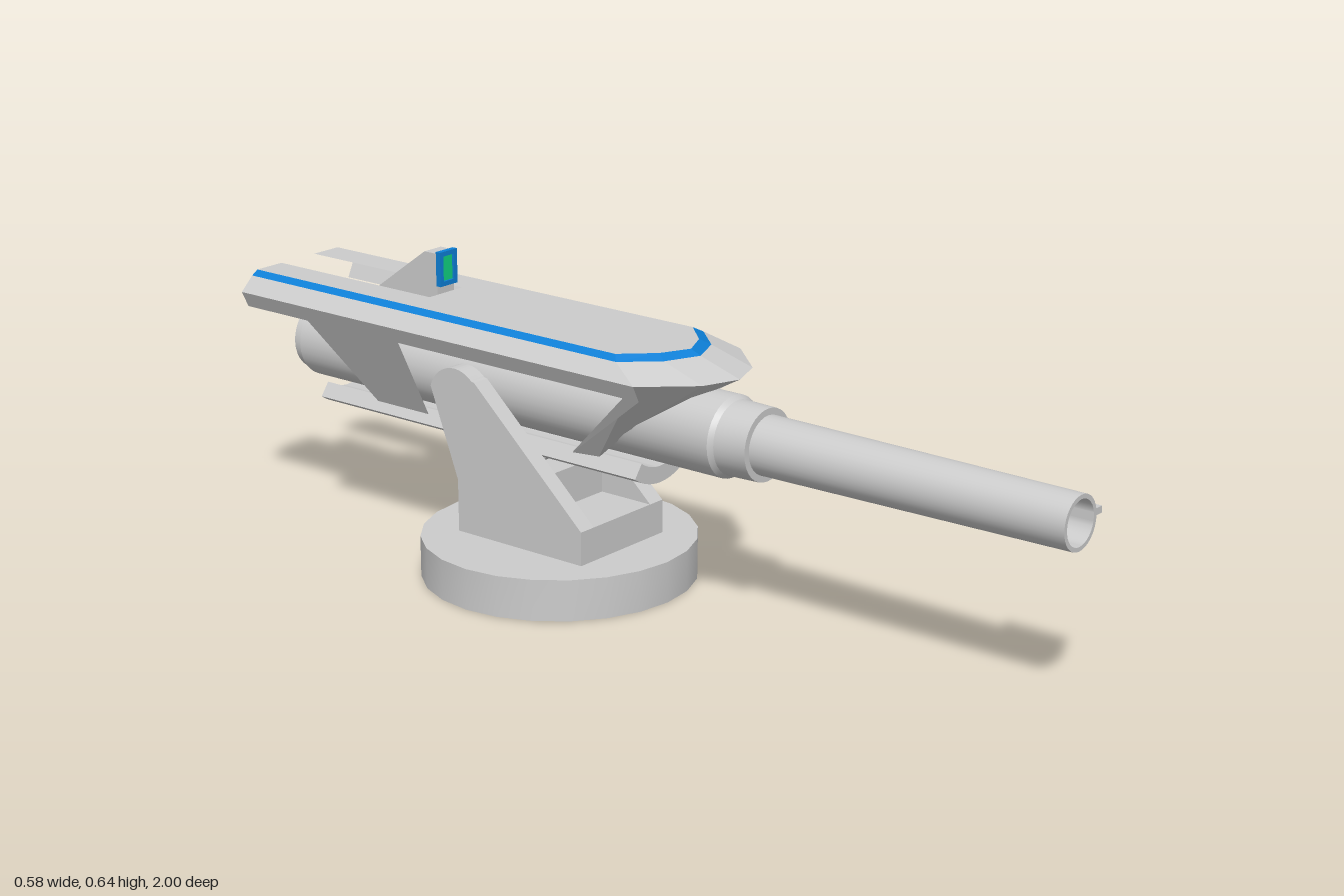
import * as THREE from 'three';
import { toCreasedNormals } from 'three/addons/utils/BufferGeometryUtils.js';

const AXIS = 0.39; // height of the barrel axis
const grey = new THREE.MeshStandardMaterial({ color: 0xcccccc });
const greySheet = new THREE.MeshStandardMaterial({ color: 0xcccccc, side: THREE.DoubleSide });
const blue = new THREE.MeshStandardMaterial({ color: 0x0d7fd6, side: THREE.DoubleSide });
const green = new THREE.MeshStandardMaterial({ color: 0x10d080 });

export function createModel() {
  const model = new THREE.Group();

  const add = (name, geometry, material = grey, x = 0, y = 0, z = 0) => {
    const mesh = new THREE.Mesh(geometry, material);
    mesh.name = name;
    mesh.position.set(x, y, z);
    model.add(mesh);
    return mesh;
  };
  const box = (name, w, h, d, x, y, z, material) =>
    add(name, new THREE.BoxGeometry(w, h, d), material, x, y, z);
  const polygon = (pts) => new THREE.Shape(pts.map(([a, b]) => new THREE.Vector2(a, b)));
  const extrude = (shape, depth) =>
    new THREE.ExtrudeGeometry(shape, { depth, bevelEnabled: false, curveSegments: 16 });
  // side outline given in (z, y), centred on x
  const sideExtrude = (shape, width) =>
    toCreasedNormals(extrude(shape, width).translate(0, 0, -width / 2).rotateY(-Math.PI / 2), 0.5);
  // convex corner lists for the +x half, mirrored to -x
  const sheet = (name, faces, material) => {
    const pos = [];
    for (const s of [1, -1]) {
      for (const f of faces) {
        for (let i = 1; i < f.length - 1; i++) {
          const tri = s > 0 ? [f[0], f[i], f[i + 1]] : [f[0], f[i + 1], f[i]];
          for (const [x, y, z] of tri) pos.push(s * x, y, z);
        }
      }
    }
    const g = new THREE.BufferGeometry();
    g.setAttribute('position', new THREE.Float32BufferAttribute(pos, 3));
    g.computeVertexNormals();
    return add(name, g, material);
  };
  const strip = (low, high) =>
    low.slice(1).map((p, i) => [low[i], high[i], high[i + 1], p]);
  const ring = (y, pts) => pts.map(([x, z]) => [x, y, z]);

  // Round base and yoke
  add('base', toCreasedNormals(new THREE.CylinderGeometry(0.29, 0.29, 0.088, 24), 0.5),
    grey, 0, 0.044, -0.25);
  box('yokeFoot', 0.26, 0.072, 0.335, 0, 0.124, -0.2475);
  box('yokeCrossbar', 0.18, 0.08, 0.1, 0, 0.2, -0.26);
  const arm = new THREE.Shape();
  arm.moveTo(-0.08, 0.088);
  arm.lineTo(-0.08, 0.16);
  arm.lineTo(-0.365, 0.42);
  arm.absarc(-0.42, 0.37, 0.07, 0.82, Math.PI - 0.3, false);
  arm.lineTo(-0.415, 0.2);
  arm.lineTo(-0.415, 0.088);
  for (const s of [1, -1]) add('yokeArm', sideExtrude(arm, 0.04), grey, s * 0.11);

  // Elevation gear segment under the cradle
  const gear = new THREE.Shape();
  gear.absarc(-0.42, 0.37, 0.19, Math.PI + 0.55, 2 * Math.PI - 0.55, false);
  add('elevationGear', sideExtrude(gear, 0.026));

  // Trough-shaped cradle
  const trough = new THREE.Shape();
  const a0 = -Math.PI / 2 - 0.63, a1 = -Math.PI / 2 + 0.63;
  trough.absarc(0, AXIS, 0.135, a0, a1, false);
  trough.absarc(0, AXIS, 0.1, a1, a0, true);
  add('cradle', toCreasedNormals(extrude(trough, 0.88), 0.5), grey, 0, 0, -0.86);

  // Barrel with sleeve, collar and open bore
  const profile = [[0, -0.915], [0.085, -0.915], [0.085, 0.205], [0.077, 0.215], [0.075, 0.29],
    [0.061, 0.29], [0.055, 1], [0.046, 1], [0.046, 0.65], [0.03, 0.62], [0, 0.605]];
  const barrel = new THREE.LatheGeometry(profile.map(([r, z]) => new THREE.Vector2(r, z)), 32);
  add('barrel', toCreasedNormals(barrel.rotateX(Math.PI / 2), 0.5), greySheet, 0, AXIS, 0);
  box('muzzleFin', 0.042, 0.014, 0.14, 0.069, AXIS, 0.92);

  // Breech end
  const disc = new THREE.CylinderGeometry(0.076, 0.076, 0.03, 32).rotateX(Math.PI / 2);
  add('breechDisc', toCreasedNormals(disc, 0.5), grey, 0, AXIS, -0.925);
  add('breechRing', new THREE.TorusGeometry(0.068, 0.003, 6, 32), blue, 0, AXIS, -0.94);
  box('breechBlock', 0.085, 0.03, 0.07, 0, 0.47, -0.89);
  const lever = polygon([[-0.02, 0.36], [0.02, 0.36], [0.035, 0.43], [0.045, 0.478],
    [-0.045, 0.478], [-0.035, 0.43]]);
  const leverGeo = extrude(lever, 0.045);
  const lp = leverGeo.attributes.position;
  // rear face leans in toward the bottom
  for (let i = 0; i < lp.count; i++) {
    if (lp.getZ(i) < 0.01) lp.setZ(i, 0.025 * (0.478 - lp.getY(i)) / 0.118);
  }
  leverGeo.computeVertexNormals();
  add('breechLever', leverGeo, grey, 0, 0, -0.97);

  // Armoured housing: widest edge, shoulder and top edge
  const wide = ring(0.51, [[0.17, -1], [0.17, 0.09], [0.08, 0.19], [0, 0.22]]);
  const shoulder = ring(0.54, [[0.138, -1], [0.138, 0.02], [0.075, 0.09], [0, 0.122]]);
  const top = ring(0.55, [[0.122, -1], [0.122, 0.005], [0.063, 0.068], [0, 0.098]]);
  sheet('housingBevel', strip(wide, shoulder), greySheet);
  sheet('housingStripe', strip(shoulder, top), blue);
  sheet('housingTop', [
    ring(0.55, [[0.05, -1], [0.05, -0.56], [0.122, -0.56], [0.122, -1]]),
    [[0, 0.55, -0.56], top[3], top[2], top[1], [0.122, 0.55, -0.56]],
  ], greySheet);

  // Inward-leaning side skirt with rear strut
  const skin = (z, y) => [0.17 - (0.51 - y) * 0.49, y, z];
  sheet('sideSkirt', [
    [skin(-1, 0.51), skin(0.09, 0.51), skin(0.09, 0.475), skin(-1, 0.475)],
    [skin(-0.555, 0.475), skin(-0.555, 0.295), skin(-0.7, 0.295), skin(-0.82, 0.475)],
  ], greySheet);

  // Chin and front struts around the barrel opening
  const chin = [0.065, 0.475, 0.15], mid = [0.088, 0.4, 0.03];
  const tip = [0.062, 0.3, -0.09], heel = skin(-0.16, 0.295), edge = skin(0.09, 0.475);
  sheet('frontChin', [
    [wide[3], wide[2], chin, [0, 0.48, 0.165]],
    [wide[2], wide[1], mid, chin],
    [wide[1], tip, mid],
    [wide[1], edge, heel, tip],
  ], greySheet);

  // Sight with framed screen
  const sight = polygon([[-0.56, 0.46], [-0.56, 0.638], [-0.595, 0.638], [-0.78, 0.505], [-0.78, 0.46]]);
  add('sightBody', sideExtrude(sight, 0.05));
  const frame = polygon([[-0.026, 0.568], [0.026, 0.568], [0.026, 0.642], [-0.026, 0.642]]);
  frame.holes.push(polygon([[-0.016, 0.578], [-0.016, 0.632], [0.016, 0.632], [0.016, 0.578]]));
  add('sightFrame', extrude(frame, 0.012), blue, 0, 0, -0.562);
  box('sightScreen', 0.032, 0.054, 0.006, 0, 0.605, -0.558, green);

  return model;
}
